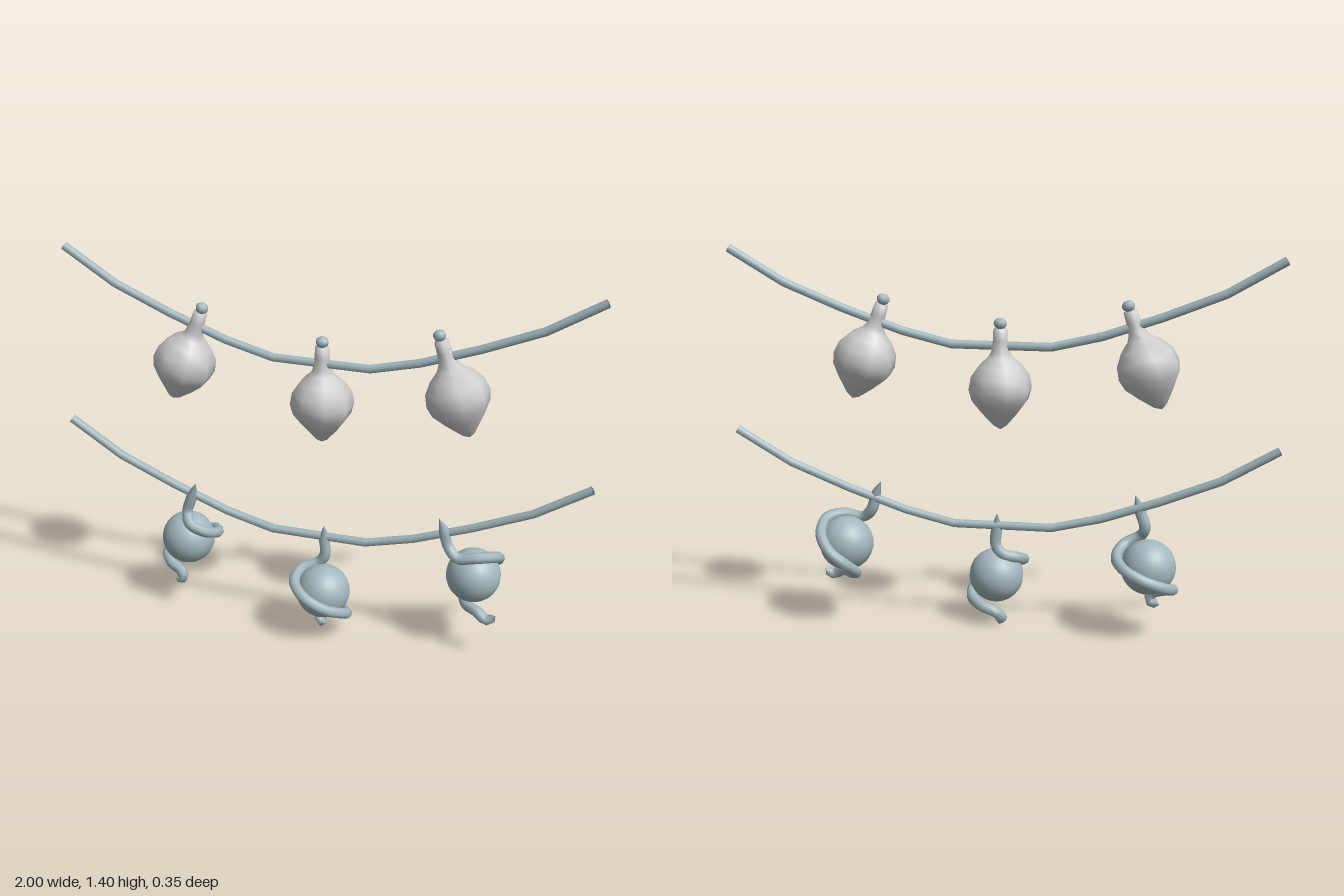
import * as THREE from 'three';

const grey = new THREE.MeshStandardMaterial({ color: 0xcccccc });
const teal = new THREE.MeshStandardMaterial({ color: 0xa3b8be });
const v = (p) => new THREE.Vector3(...p);

// Straight runs between points, one ring of the tube at each point
class Polyline extends THREE.Curve {
  constructor(points) { super(); this.points = points; }
  getUtoTmapping(u) { return u; }
  getPoint(t, target = new THREE.Vector3()) {
    const n = this.points.length - 1;
    const i = Math.min(Math.floor(t * n + 1e-9), n - 1);
    return target.lerpVectors(this.points[i], this.points[i + 1], t * n - i);
  }
}

function mesh(geometry, material, name) {
  const m = new THREE.Mesh(geometry, material);
  m.name = name;
  return m;
}

// Tube whose rings are scaled by scaleAt(ring, rings), to close or taper the ends
function taperedTube(curve, rings, radius, sides, scaleAt) {
  const g = new THREE.TubeGeometry(curve, rings, radius, sides);
  const pos = g.attributes.position, p = new THREE.Vector3();
  for (let i = 0; i <= rings; i++) {
    const c = curve.getPointAt(i / rings);
    for (let j = 0; j <= sides; j++) {
      const k = i * (sides + 1) + j;
      p.fromBufferAttribute(pos, k).sub(c).multiplyScalar(scaleAt(i, rings)).add(c);
      pos.setXYZ(k, p.x, p.y, p.z);
    }
  }
  return g;
}

// Sagging cord: half profile mirrored in x, ends closed
function cord(y, zEnd, zMid, name) {
  const half = [[0.991, 0.332], [0.99, 0.331], [0.79, 0.211], [0.575, 0.123], [0.36, 0.047], [0.18, 0.003]];
  const at = (s) => ([x, h]) => v([s * x, y + h, zMid + (zEnd - zMid) * h / 0.332]);
  const points = [...half.map(at(-1)), ...half.map(at(1)).reverse()];
  const n = points.length - 1;
  return mesh(taperedTube(new Polyline(points), n, 0.016, 8, (i) => (i === 0 || i === n ? 0 : 1)), teal, name);
}

// Pointed bulb with neck and small cap, hung from the cap
function bulb(x, y, tilt) {
  const g = new THREE.Group();
  g.name = 'bulb';
  const profile = [[0, -0.385], [0.025, -0.37], [0.07, -0.32], [0.105, -0.275], [0.116, -0.235], [0.108, -0.19],
    [0.08, -0.15], [0.046, -0.122], [0.033, -0.1], [0.027, -0.06], [0.025, -0.018], [0, -0.018]];
  g.add(mesh(new THREE.LatheGeometry(profile.map((p) => new THREE.Vector2(...p)), 8, Math.PI / 8), grey, 'bulbBody'));
  const cap = mesh(new THREE.SphereGeometry(0.024, 8, 6), teal, 'bulbCap');
  cap.scale.y = 0.85;
  g.add(cap);
  g.position.set(x, y, -0.03);
  g.rotation.z = tilt;
  return g;
}

// Ball held by a tendril that winds round it and ends in a curl
function ornament(centre, path) {
  const g = new THREE.Group();
  g.name = 'ballOrnament';
  const ball = mesh(new THREE.SphereGeometry(0.1, 24, 16), teal, 'ball');
  ball.position.set(...centre);
  const curve = new THREE.CatmullRomCurve3(path.map(v));
  const taper = (i, n) => Math.min(1, i / 3, i === n ? 0 : 0.75 + (n - i) * 0.1);
  g.add(ball, mesh(taperedTube(curve, 48, 0.021, 8, taper), teal, 'tendril'));
  return g;
}

export function createModel() {
  const model = new THREE.Group();
  model.name = 'hangingGarlands';

  model.add(cord(1.067, -0.048, -0.028, 'upperCord'), cord(0.392, -0.022, -0.002, 'lowerCord'));
  model.add(bulb(0.003, 1.15, 0), bulb(-0.45, 1.225, -0.33), bulb(0.427, 1.225, 0.32));

  // Middle, right and left ornaments of the lower cord
  model.add(ornament([0.03, 0.19, 0.04], [
    [0.02, 0.44, 0], [0.022, 0.38, 0], [0.025, 0.32, 0], [0, 0.285, 0], [-0.055, 0.265, 0.03],
    [-0.065, 0.24, 0.09], [-0.01, 0.21, 0.148], [0.06, 0.17, 0.142], [0.115, 0.135, 0.09],
    [0.12, 0.105, 0.03], [0.075, 0.085, -0.02], [0.02, 0.065, -0.025], [0.002, 0.035, -0.005], [0.03, 0.025, 0.005]]));
  model.add(ornament([-0.54, 0.28, -0.045], [
    [-0.485, 0.535, 0], [-0.505, 0.47, 0], [-0.522, 0.415, 0], [-0.505, 0.375, 0.025], [-0.45, 0.345, 0.015],
    [-0.425, 0.315, -0.05], [-0.46, 0.29, -0.125], [-0.53, 0.26, -0.15], [-0.605, 0.225, -0.115],
    [-0.63, 0.2, -0.05], [-0.595, 0.18, 0], [-0.55, 0.16, 0.015], [-0.545, 0.13, 0.015], [-0.58, 0.12, 0.005]]));
  model.add(ornament([0.58, 0.31, -0.04], [
    [0.455, 0.54, 0], [0.475, 0.49, 0], [0.49, 0.435, 0], [0.53, 0.397, 0.015], [0.6, 0.408, 0.012],
    [0.655, 0.4, -0.03], [0.66, 0.36, -0.1], [0.62, 0.31, -0.148], [0.56, 0.26, -0.145],
    [0.535, 0.215, -0.09], [0.56, 0.19, -0.03], [0.61, 0.188, 0.01], [0.65, 0.165, 0.02], [0.68, 0.185, 0.015]]));
  return model;
}
